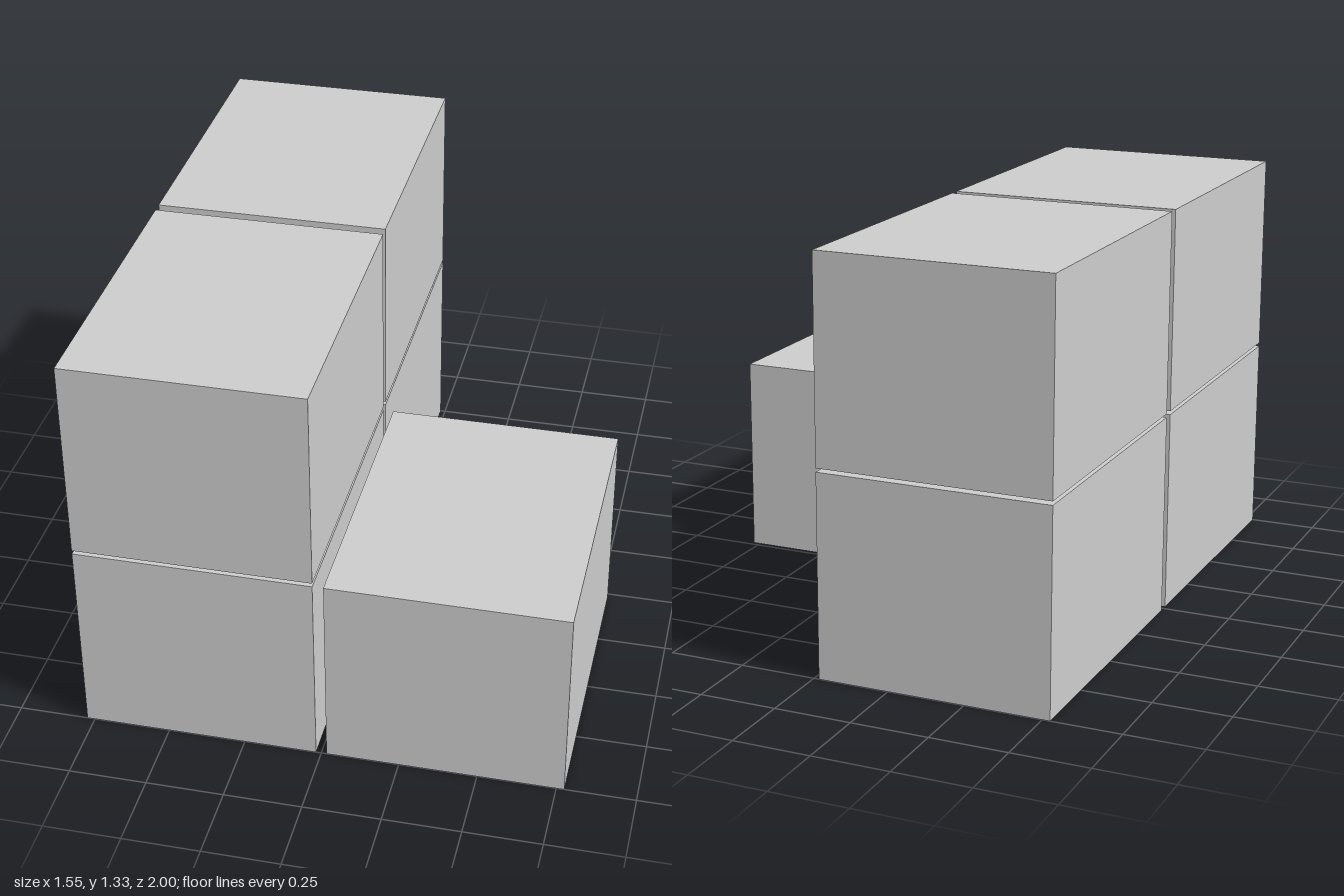
import * as THREE from 'three';

export function createModel() {
  const group = new THREE.Group();
  const material = new THREE.MeshStandardMaterial({ color: 0xcccccc, flatShading: true });

  // One block size, repeated on a grid with thin gaps
  const size = new THREE.Vector3(0.758, 0.661, 0.983);
  const geometry = new THREE.BoxGeometry(size.x, size.y, size.z);
  const cx = 0.396, cz = 0.5085, levelStep = 0.673;

  function addBlock(name, sideX, level, sideZ) {
    const block = new THREE.Mesh(geometry, material);
    block.name = name;
    block.position.set(sideX * cx, size.y / 2 + level * levelStep, sideZ * cz);
    group.add(block);
  }

  // Two-storey wall of four blocks on the right
  for (const [end, sideZ] of [['Front', 1], ['Back', -1]]) {
    addBlock(`lower${end}Block`, -1, 0, sideZ);
    addBlock(`upper${end}Block`, -1, 1, sideZ);
  }

  // Single block on the ground at the front left
  addBlock('sideBlock', 1, 0, 1);

  return group;
}
